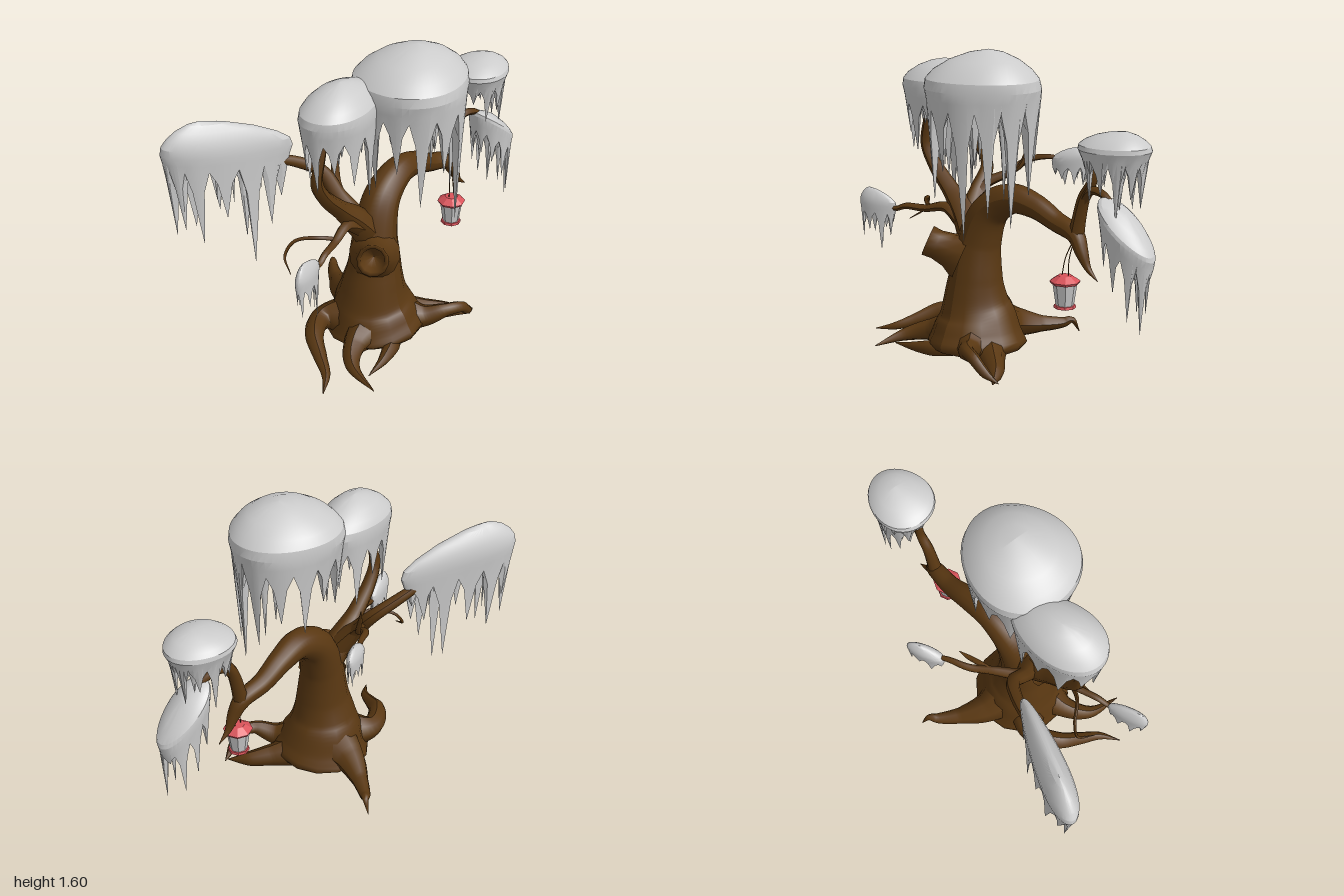
import * as THREE from 'three';
import { toCreasedNormals } from 'three/addons/utils/BufferGeometryUtils.js';

const wood = new THREE.MeshStandardMaterial({ color: 0x5a3812, side: THREE.DoubleSide });
const moss = new THREE.MeshStandardMaterial({ color: 0xcccccc, side: THREE.DoubleSide });
const red = new THREE.MeshStandardMaterial({ color: 0xd9535a, flatShading: true });
const glass = new THREE.MeshStandardMaterial({ color: 0xcccccc, flatShading: true });

function add(parent, name, geometry, material) {
  const mesh = new THREE.Mesh(geometry, material);
  mesh.name = name;
  parent.add(mesh);
  return mesh;
}

// Tapered tube through points [x, y, z, radius], flattened where it meets the ground
function limb(parent, name, pts, sides = 8) {
  const curve = new THREE.CatmullRomCurve3(pts.map(p => new THREE.Vector3(p[0], p[1], p[2])));
  const n = pts.length * 6;
  const geo = new THREE.TubeGeometry(curve, n, 1, sides);
  const pos = geo.attributes.position, v = new THREE.Vector3();
  for (let i = 0; i <= n; i++) {
    const c = curve.getPointAt(i / n);
    const t = curve.getUtoTmapping(i / n) * (pts.length - 1);
    const k = Math.min(Math.floor(t), pts.length - 2);
    const r = THREE.MathUtils.lerp(pts[k][3], pts[k + 1][3], t - k);
    for (let j = 0; j <= sides; j++) {
      const id = i * (sides + 1) + j;
      v.fromBufferAttribute(pos, id).sub(c).multiplyScalar(r).add(c);
      pos.setXYZ(id, v.x, Math.max(v.y, 0.005), v.z);
    }
  }
  geo.computeVertexNormals();
  return add(parent, name, geo, wood);
}

// Domed clump on a tilted oval rim. Its skirt ends in pointed strands, four columns each:
// gap, shoulder, tip, shoulder. `tips` lists strand lengths anticlockwise from the local +x end, seen from above.
function canopy(parent, name, o) {
  const { a, b, h, skirt, tips, turn = 0, slope = 0, peak = 0, taper = 0.93, narrow = 0 } = o;
  const group = new THREE.Group();
  group.name = name;
  group.position.set(...o.at);
  group.rotation.y = turn;
  const seg = tips.length * 4, hang = [0, 0.26, 1, 0.26];
  // [radius factor, height, share of strand length]
  const rings = [[0.001, h, 0], [0.3, h * 0.9, 0], [0.6, h * 0.69, 0], [0.84, h * 0.42, 0], [0.97, h * 0.17, 0], [1, -h * 0.1, 0],
    [(1 + taper) / 2, -skirt * 0.6, 0], [taper, -skirt, 1], [taper * 0.78, -skirt * 0.85, 0.12], [0.001, -skirt * 0.5, 0]];
  const verts = [], index = [];
  rings.forEach(([r, y, share], i) => {
    for (let j = 0; j <= seg; j++) {
      const col = j % seg, ang = -col / seg * Math.PI * 2;
      const wob = (1 + 0.03 * Math.sin(ang * 3 + i * 0.4)) * (1 - 0.1 * share * hang[col % 4]);
      const x = Math.cos(ang) * r * a * wob + (i < 5 ? peak * (1 - r) : 0);
      const z = Math.sin(ang) * r * b * wob * (1 - narrow * x / a);
      const len = tips[Math.floor(col / 4)];
      verts.push(x, y - share * len * hang[col % 4] + x * slope, z);
      if (i && j) {
        const p = i * (seg + 1) + j, q = p - seg - 1;
        index.push(q - 1, p - 1, q, q, p - 1, p);
      }
    }
  });
  const geo = new THREE.BufferGeometry();
  geo.setAttribute('position', new THREE.Float32BufferAttribute(verts, 3));
  geo.setIndex(index);
  add(group, 'mossSkin', toCreasedNormals(geo, 0.35), moss);

  // A few loose strands under the clump
  tips.forEach((len, i) => {
    if (i % 3) return;
    const ang = -(i + 0.9) / tips.length * Math.PI * 2, w = Math.min(b * 0.3, 0.045), l = len * 0.85;
    const prof = [[0.001, -l], [w * 0.35, -l * 0.5], [w, 0]].map(p => new THREE.Vector2(...p));
    const x = Math.cos(ang) * a * 0.5;
    add(group, 'mossStrand', new THREE.LatheGeometry(prof, 5), moss)
      .position.set(x, -skirt * 0.7 + x * slope, Math.sin(ang) * b * 0.5);
  });
  parent.add(group);
}

export function createModel() {
  const model = new THREE.Group();
  model.name = 'mossyTree';

  // Trunk arching over into the right-hand bough
  limb(model, 'trunk', [[-0.11, 0.03, 0.09, 0.01], [-0.11, 0.05, 0.09, 0.27], [-0.115, 0.12, 0.085, 0.235], [-0.12, 0.2, 0.08, 0.205],
    [-0.125, 0.28, 0.085, 0.172], [-0.12, 0.4, 0.09, 0.142], [-0.1, 0.6, 0.08, 0.113], [-0.035, 0.765, 0.065, 0.096], [0.1, 0.848, 0.05, 0.077],
    [0.24, 0.832, 0.03, 0.062], [0.38, 0.775, 0.02, 0.05], [0.51, 0.735, 0.03, 0.044], [0.56, 0.66, 0.04, 0.032],
    [0.6, 0.59, 0.04, 0.016], [0.66, 0.54, 0.04, 0.002]], 14);

  // Roots
  const roots = [
    [[-0.1, 0.15, 0, 0.14], [-0.08, 0.11, -0.15, 0.085], [-0.01, 0.085, -0.29, 0.045], [0.06, 0.085, -0.39, 0.028], [0.09, 0.1, -0.42, 0.018], [0.11, 0.03, -0.46, 0.002]],
    [[-0.2, 0.12, 0.05, 0.12], [-0.35, 0.12, -0.06, 0.06], [-0.48, 0.12, 0.01, 0.048], [-0.55, 0.08, 0.12, 0.035], [-0.61, 0.05, 0.22, 0.022], [-0.7, 0.03, 0.29, 0.002]],
    [[-0.2, 0.1, 0.15, 0.12], [-0.36, 0.08, 0.18, 0.06], [-0.47, 0.05, 0.27, 0.035], [-0.51, 0.02, 0.45, 0.002]],
    [[-0.05, 0.11, 0.15, 0.12], [0.04, 0.1, 0.29, 0.06], [0.12, 0.14, 0.38, 0.034], [0.2, 0.13, 0.41, 0.03], [0.27, 0.07, 0.4, 0.025], [0.34, 0.03, 0.38, 0.002]],
    [[0.0, 0.07, 0.12, 0.1], [0.14, 0.05, 0.22, 0.06], [0.24, 0.035, 0.3, 0.04], [0.31, 0.02, 0.39, 0.002]],
    [[-0.15, 0.08, 0.15, 0.1], [-0.2, 0.05, 0.28, 0.05], [-0.3, 0.04, 0.33, 0.03], [-0.45, 0.03, 0.36, 0.002]],
  ];
  roots.forEach(r => limb(model, 'root', r));

  // Branches
  limb(model, 'leftBranch', [[-0.12, 0.58, 0.08, 0.09], [-0.23, 0.72, 0.06, 0.07], [-0.33, 0.82, 0.06, 0.046], [-0.45, 0.95, 0.07, 0.036],
    [-0.5, 1.05, 0.08, 0.03], [-0.48, 1.17, 0.09, 0.022], [-0.42, 1.34, 0.09, 0.01]]);
  limb(model, 'backLeftBranch', [[-0.2, 0.68, 0.06, 0.07], [-0.24, 0.82, -0.04, 0.042], [-0.26, 0.93, -0.13, 0.034],
    [-0.36, 1.0, -0.19, 0.03], [-0.47, 1.05, -0.23, 0.025], [-0.65, 1.12, -0.29, 0.012]]);
  limb(model, 'backBranch', [[-0.23, 0.75, 0, 0.045], [-0.22, 0.85, -0.07, 0.03], [-0.14, 0.91, -0.16, 0.022],
    [-0.07, 0.98, -0.25, 0.018], [0.02, 1.0, -0.3, 0.014], [0.1, 0.99, -0.35, 0.008]], 6);
  limb(model, 'backTwig', [[-0.13, 0.92, -0.17, 0.018], [-0.08, 0.95, -0.19, 0.014], [-0.05, 1.05, -0.23, 0.012], [-0.02, 1.13, -0.26, 0.002]], 6);
  limb(model, 'lowLeftBranch', [[-0.22, 0.68, 0.08, 0.05], [-0.33, 0.74, 0.1, 0.028], [-0.45, 0.72, 0.14, 0.02],
    [-0.56, 0.72, 0.18, 0.017], [-0.62, 0.7, 0.2, 0.014], [-0.72, 0.74, 0.23, 0.008]], 6);
  limb(model, 'lowLeftTwig', [[-0.42, 0.72, 0.13, 0.012], [-0.5, 0.75, 0.09, 0.011], [-0.58, 0.73, 0.0, 0.009],
    [-0.63, 0.66, -0.02, 0.007], [-0.67, 0.61, 0.06, 0.002]], 6);
  limb(model, 'rightUpperBranch', [[0.51, 0.71, 0.03, 0.04], [0.53, 0.82, 0.03, 0.034], [0.56, 0.93, 0.03, 0.03],
    [0.61, 1.02, 0.03, 0.024], [0.62, 1.12, 0.03, 0.019], [0.68, 1.2, 0.03, 0.01]]);
  limb(model, 'rightSideBranch', [[0.55, 0.9, 0.03, 0.025], [0.61, 0.97, 0.04, 0.022], [0.7, 0.965, 0.05, 0.018], [0.8, 0.89, 0.06, 0.01]], 6);

  // Hollow broken stub
  const stubProfile = [[0.13, 0], [0.09, 0.07], [0.076, 0.14], [0.08, 0.19], [0.06, 0.185], [0.048, 0.12], [0.001, 0.07]];
  const stub = add(model, 'hollowStub', new THREE.LatheGeometry(stubProfile.map(p => new THREE.Vector2(...p)), 12), wood);
  stub.position.set(-0.17, 0.52, 0.14);
  stub.quaternion.setFromUnitVectors(new THREE.Vector3(0, 1, 0), new THREE.Vector3(-0.72, 0.4, 0.6).normalize());

  // Hanging moss clumps
  canopy(model, 'centreMoss', { at: [0.04, 1.43, 0.185], a: 0.295, b: 0.272, h: 0.17, peak: 0.04, skirt: 0.11, taper: 0.95,
    tips: [0.42, 0.28, 0.36, 0.22, 0.3, 0.24, 0.38, 0.28, 0.46, 0.3, 0.62, 0.5, 0.56] });
  canopy(model, 'leftMoss', { at: [-0.34, 1.385, 0.085], a: 0.25, b: 0.16, turn: 0.22, h: 0.13, skirt: 0.1,
    tips: [0.2, 0.32, 0.18, 0.28, 0.18, 0.26, 0.16, 0.24, 0.36, 0.2, 0.32] });
  canopy(model, 'backLeftMoss', { at: [-0.7, 1.17, -0.318], a: 0.325, b: 0.072, turn: -0.385, h: 0.15, peak: -0.12, slope: -0.13,
    narrow: 0.25, skirt: 0.09, tips: [0.1, 0.2, 0.45, 0.28, 0.36, 0.22, 0.36, 0.32, 0.4, 0.26, 0.54, 0.34, 0.2] });
  canopy(model, 'rightTopMoss', { at: [0.745, 1.195, 0.035], a: 0.178, b: 0.157, h: 0.078, peak: 0.04, skirt: 0.075, taper: 0.82,
    tips: [0.2, 0.12, 0.24, 0.1, 0.14, 0.1, 0.08, 0.18, 0.14, 0.26, 0.15] });
  canopy(model, 'rightLowMoss', { at: [0.845, 0.835, 0.065], a: 0.152, b: 0.102, h: 0.07, slope: -0.78, skirt: 0.09, taper: 0.9,
    tips: [0.05, 0.26, 0.24, 0.18, 0.12, 0.12, 0.15, 0.2, 0.27, 0.3] });
  canopy(model, 'lowLeftMoss', { at: [-0.725, 0.72, 0.235], a: 0.11, b: 0.034, turn: 0.35, h: 0.08, peak: -0.05, slope: -0.05,
    skirt: 0.05, tips: [0.05, 0.09, 0.12, 0.08, 0.15, 0.1, 0.2, 0.12] });
  canopy(model, 'backMoss', { at: [0.12, 0.995, -0.355], a: 0.1, b: 0.034, turn: 0.45, h: 0.06, peak: 0.03, slope: 0.1,
    skirt: 0.045, tips: [0.09, 0.06, 0.1, 0.04, 0.03, 0.06, 0.09, 0.1] });

  // Lantern
  const lantern = new THREE.Group();
  lantern.name = 'lantern';
  lantern.position.set(0.495, 0, 0.085);
  model.add(lantern);
  const disc = (name, top, bottom, y0, y1, mat) => {
    add(lantern, name, new THREE.CylinderGeometry(top, bottom, y1 - y0, 8), mat).position.y = (y0 + y1) / 2;
  };
  disc('lanternBase', 0.052, 0.055, 0.385, 0.398, red);
  disc('lanternBody', 0.06, 0.044, 0.398, 0.505, glass);
  disc('lanternBrim', 0.075, 0.068, 0.505, 0.518, red);
  disc('lanternRoof', 0.035, 0.075, 0.518, 0.545, red);
  for (const s of [-1, 1]) {
    limb(lantern, 'hangingCord', [[s * 0.02, 0.54, 0, 0.003], [s * 0.012 + 0.005, 0.63, -0.01, 0.003], [0.025, 0.73, -0.04, 0.003]], 4);
  }
  return model;
}
